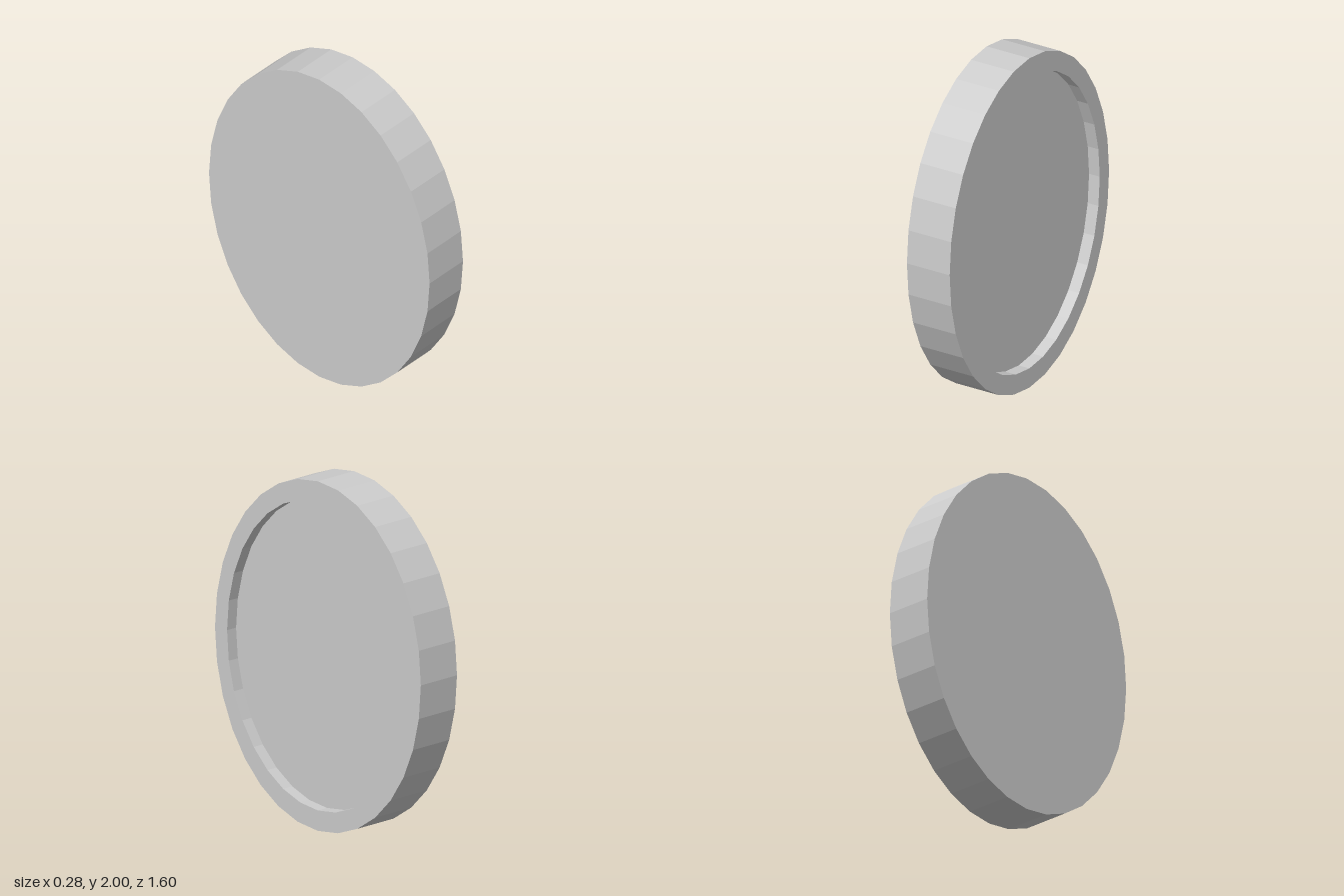
import * as THREE from 'three';

const SIDES = 32;
const HALF = 0.14;      // half thickness along x
const INNER = 0.883;    // recess radius relative to the outer radius
const FLOOR = 0.07;     // x position of the recess floor

export function createModel() {
  const group = new THREE.Group();
  group.name = 'ovalDisc';
  const material = new THREE.MeshStandardMaterial({ color: 0xcccccc, flatShading: true });

  // Squash the round part to an oval and stand it on the ground
  const add = (name, geometry) => {
    const flat = geometry.toNonIndexed();
    flat.scale(1, 1, 0.8);
    flat.translate(0, 1, 0);
    flat.computeVertexNormals();
    const mesh = new THREE.Mesh(flat, material);
    mesh.name = name;
    group.add(mesh);
  };

  // Outer wall, raised lip and inner wall of the recess
  const profile = [[1, -HALF], [1, HALF], [INNER, HALF], [INNER, FLOOR]];
  const rim = new THREE.LatheGeometry(profile.map(([r, h]) => new THREE.Vector2(r, h)), SIDES);
  add('rim', rim.rotateZ(-Math.PI / 2));

  // Sunken panel facing +x and flat back facing -x
  add('recessPanel', new THREE.CircleGeometry(INNER, SIDES).rotateY(Math.PI / 2).translate(FLOOR, 0, 0));
  add('backPanel', new THREE.CircleGeometry(1, SIDES).rotateY(-Math.PI / 2).translate(-HALF, 0, 0));

  return group;
}
